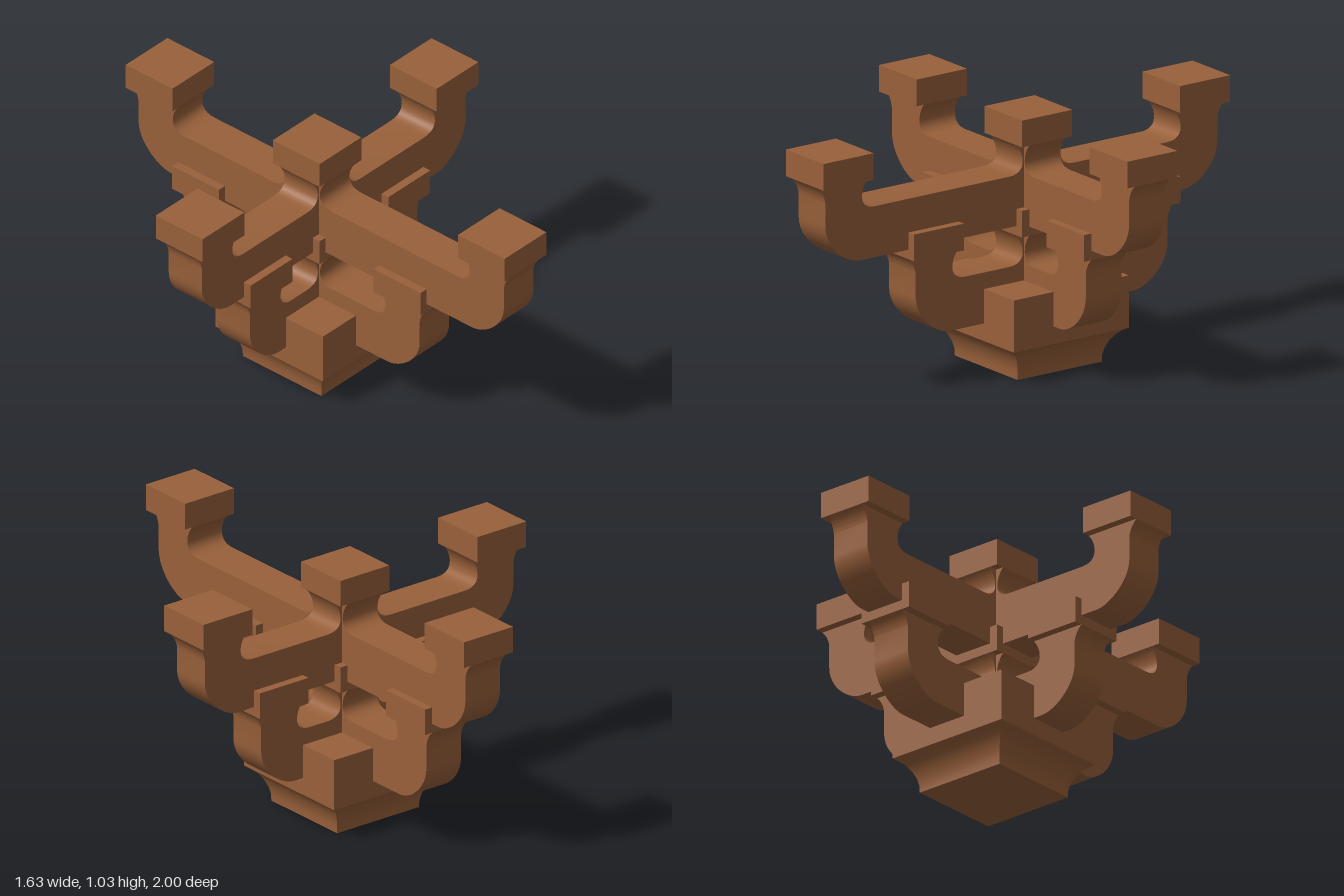
import * as THREE from 'three';
import { toCreasedNormals } from 'three/addons/utils/BufferGeometryUtils.js';

const AXIS_Z = -0.1; // depth of the post on which all tiers cross
const ARM_W = 0.175, BLOCK_W = 0.247, BLOCK_H = 0.11;
const FLARE = (BLOCK_W - ARM_W) / 2;

const wood = new THREE.MeshStandardMaterial({ color: 0x98603a });
wood.name = 'warm brown wood';

function addMesh(parent, geometry, name) {
  const mesh = new THREE.Mesh(geometry, wood);
  mesh.name = name;
  parent.add(mesh);
  return mesh;
}

// Side profile of a bracket arm: rounded ends, two end necks and a middle neck.
// right and left are the distances from the middle neck to the two outer ends.
function armProfile(right, left, h) {
  const s = new THREE.Shape();
  const half = ARM_W / 2, top = h + 0.21, neck = h + 0.265, seat = h + 0.333;
  const r = right, l = -left;
  s.moveTo(l + 0.17, h);
  s.lineTo(r - 0.17, h);
  s.bezierCurveTo(r - 0.1, h, r, h + 0.08, r, h + 0.17);
  s.lineTo(r, neck);
  s.quadraticCurveTo(r + 0.005, neck + 0.04, r + FLARE, seat);
  s.lineTo(r - ARM_W - FLARE, seat);
  s.bezierCurveTo(r - ARM_W, neck + 0.03, r - ARM_W + 0.02, top, r - ARM_W - 0.07, top);
  s.lineTo(half + 0.07, top);
  s.bezierCurveTo(half - 0.02, top, half, neck + 0.03, half + FLARE, seat);
  s.lineTo(-half - FLARE, seat);
  s.bezierCurveTo(-half, neck + 0.03, -half + 0.02, top, -half - 0.07, top);
  s.lineTo(l + ARM_W + 0.07, top);
  s.bezierCurveTo(l + ARM_W - 0.02, top, l + ARM_W, neck + 0.03, l + ARM_W + FLARE, seat);
  s.lineTo(l - FLARE, seat);
  s.quadraticCurveTo(l - 0.005, neck + 0.04, l, neck);
  s.lineTo(l, h + 0.17);
  s.bezierCurveTo(l, h + 0.08, l + 0.1, h, l + 0.17, h);
  return s;
}

// One arm with a bearing block on each end
function makeArm(name, right, left, h) {
  const arm = new THREE.Group();
  arm.name = name;
  const g = new THREE.ExtrudeGeometry(armProfile(right, left, h), {
    depth: ARM_W, bevelEnabled: false, curveSegments: 12,
  });
  g.translate(0, 0, -ARM_W / 2);
  addMesh(arm, toCreasedNormals(g, 0.6), 'armBeam');
  for (const x of [right - ARM_W / 2, -left + ARM_W / 2]) addBlock(arm, x, h, 'endBlock');
  return arm;
}

function addBlock(parent, x, h, name) {
  addMesh(parent, new THREE.BoxGeometry(BLOCK_W, BLOCK_H, BLOCK_W), name)
    .position.set(x, h + 0.333 + BLOCK_H / 2, 0);
}

// Square foot with concave sides, lofted through square cross-sections
function footGeometry() {
  const rings = [[0, 0.207], [0.03, 0.208], [0.06, 0.215], [0.09, 0.228],
    [0.115, 0.245], [0.132, 0.263], [0.145, 0.283]];
  const pos = [], index = [];
  for (let side = 0; side < 4; side++) {
    const a = side * Math.PI / 2, c = Math.cos(a), n = Math.sin(a);
    const start = pos.length / 3;
    for (const [y, w] of rings) {
      for (const u of [-w, w]) pos.push(u * c + w * n, y, -u * n + w * c);
    }
    for (let i = 0; i < rings.length - 1; i++) {
      const k = start + i * 2;
      index.push(k, k + 1, k + 3, k, k + 3, k + 2);
    }
  }
  // underside
  const w = rings[0][1], b = pos.length / 3;
  pos.push(-w, 0, -w, w, 0, -w, w, 0, w, -w, 0, w);
  index.push(b, b + 1, b + 2, b, b + 2, b + 3);
  const g = new THREE.BufferGeometry();
  g.setAttribute('position', new THREE.Float32BufferAttribute(pos, 3));
  g.setIndex(index);
  g.computeVertexNormals();
  return g;
}

export function createModel() {
  const model = new THREE.Group();
  model.name = 'bracketSet';
  const stack = new THREE.Group();
  stack.name = 'crossedBrackets';
  stack.position.z = AXIS_Z;
  model.add(stack);

  // Base
  addMesh(stack, footGeometry(), 'baseFoot');
  addMesh(stack, new THREE.BoxGeometry(0.566, 0.215, 0.566), 'baseBlock').position.y = 0.2525;

  // Two tiers of crossed arms; the upper long arm reaches further forward
  const tiers = [
    { name: 'lower', h: 0.218, side: 0.495, front: 0.62, back: 0.62 },
    { name: 'upper', h: 0.59, side: 0.78, front: 1.065, back: 0.865 },
  ];
  for (const t of tiers) {
    stack.add(makeArm(t.name + 'CrossArm', t.side, t.side, t.h));
    const long = makeArm(t.name + 'LongArm', t.front, t.back, t.h);
    long.rotation.y = -Math.PI / 2;
    stack.add(long);
    addBlock(stack, 0, t.h, t.name + 'CentreBlock');
  }
  return model;
}
